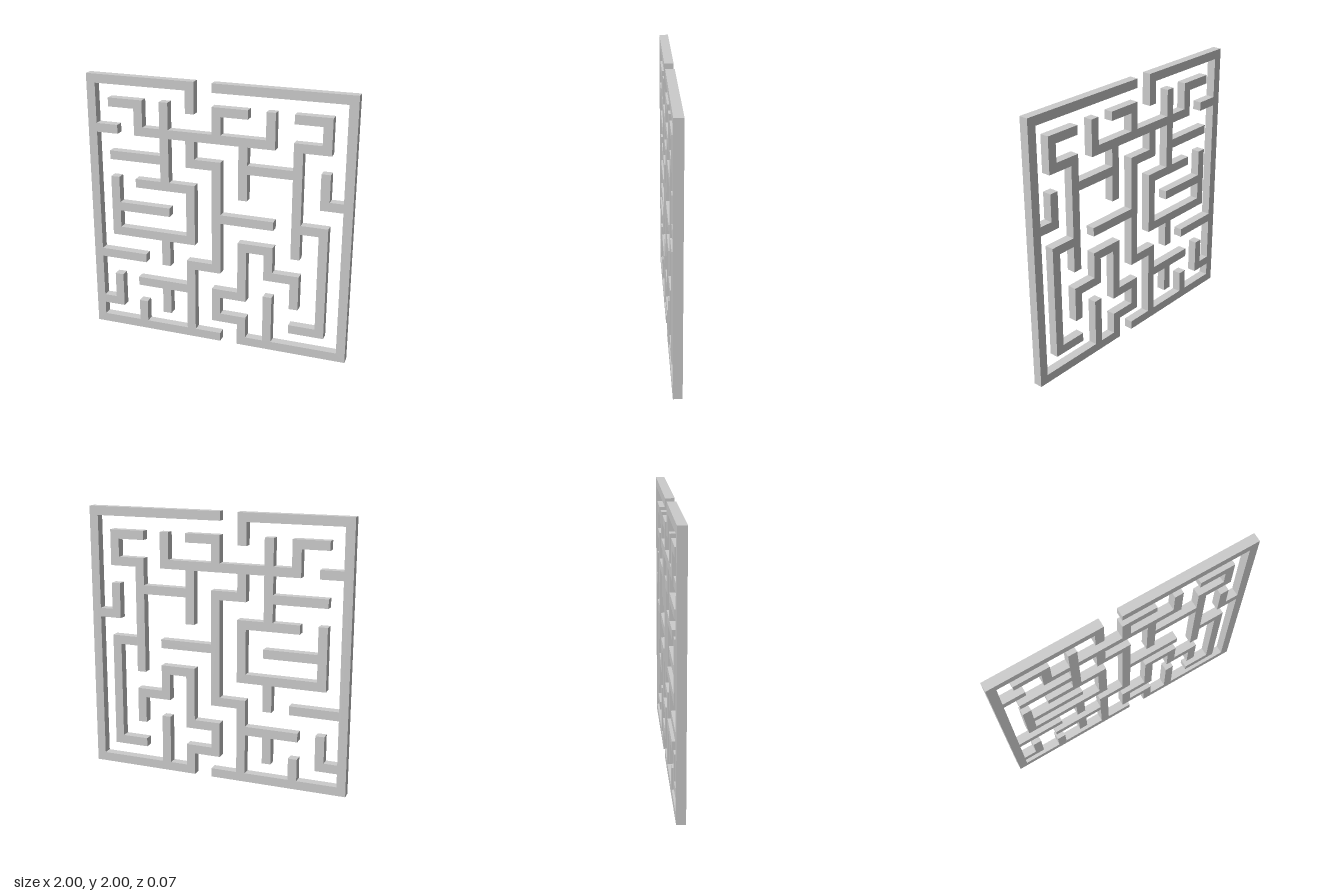
import * as THREE from 'three';

const HALF = 1 / 30; // half the wall thickness and half the depth
const CELLS = 10;

// Horizontal walls: row -> [from column, to column]
const ROWS = [
  [[0, 5], [6, 10]],
  [[0, 1], [5, 6], [8, 9]],
  [[2, 4], [5, 6]],
  [[0, 2], [4, 5], [7, 8]],
  [[1, 4], [6, 7]],
  [[1, 3], [5, 7], [8, 9]],
  [[2, 4], [9, 10]],
  [[1, 3], [4, 5], [6, 8]],
  [[0, 1], [2, 7], [8, 9]],
  [[1, 2], [5, 6], [8, 9]],
  [[0, 4], [5, 10]],
];

// Vertical walls: column -> [from row, to row]
const COLUMNS = [
  [[0, 10]],
  [[1, 2], [4, 6]],
  [[0, 1], [8, 9]],
  [[1, 2], [3, 4], [6, 9]],
  [[0, 3], [4, 6], [7, 8], [9, 10]],
  [[1, 2], [3, 7], [8, 9]],
  [[0, 1], [2, 4], [6, 8]],
  [[0, 2], [3, 4], [8, 9]],
  [[2, 3], [4, 8]],
  [[1, 5], [6, 7], [8, 9]],
  [[0, 10]],
];

// Directions in counter-clockwise order: east, north, west, south
const DIRS = [[1, 0], [0, 1], [-1, 0], [0, -1]];
const dir = (d) => DIRS[(d + 4) % 4];
const key = (c, r, d) => `${c},${r},${(d + 4) % 4}`;

// Grid line position; the border lines are pulled in by half a wall
const line = (i) => THREE.MathUtils.clamp(i * 0.2, HALF, 2 - HALF);

// Every unit of wall, once in each direction
function wallEdges() {
  const edges = new Map();
  const add = (c, r, d) => edges.set(key(c, r, d), [c, r, d]);
  for (let i = 0; i <= CELLS; i++) {
    for (const [a, b] of ROWS[i]) {
      for (let c = a; c < b; c++) { add(c, i, 0); add(c + 1, i, 2); }
    }
    for (const [a, b] of COLUMNS[i]) {
      for (let r = a; r < b; r++) { add(i, r, 1); add(i, r + 1, 3); }
    }
  }
  return edges;
}

// Walk round each connected wall, keeping to its right side, to get its outline
function wallOutlines() {
  const edges = wallEdges();
  const visited = new Set();
  const outlines = [];
  for (const [startKey, start] of edges) {
    if (visited.has(startKey)) continue;
    const points = [];
    let [c, r, d] = start;
    while (!visited.has(key(c, r, d))) {
      visited.add(key(c, r, d));
      c += dir(d)[0];
      r += dir(d)[1];
      // prefer right, then straight on, left, and back at a dead end
      const turn = [-1, 0, 1, 2].find((t) => edges.has(key(c, r, d + t)));
      const corner = (d1, d2) => points.push(new THREE.Vector2(
        line(c) - 1 + HALF * (dir(d1 - 1)[0] + dir(d2 - 1)[0]),
        line(r) + HALF * (dir(d1 - 1)[1] + dir(d2 - 1)[1]),
      ));
      if (turn === -1) corner(d, d - 1);
      for (let t = 0; t < turn; t++) corner(d + t, d + t + 1);
      d = (d + turn + 4) % 4;
    }
    outlines.push(points);
  }
  return outlines;
}

export function createModel() {
  const maze = new THREE.Group();
  maze.name = 'maze';
  const material = new THREE.MeshStandardMaterial({ color: 0xcccccc });

  // One solid per connected run of walls
  wallOutlines().forEach((points, i) => {
    const geometry = new THREE.ExtrudeGeometry(new THREE.Shape(points), {
      depth: 2 * HALF,
      bevelEnabled: false,
    });
    geometry.translate(0, 0, -HALF);
    const wall = new THREE.Mesh(geometry, material);
    wall.name = `mazeWall${i + 1}`;
    maze.add(wall);
  });
  return maze;
}
